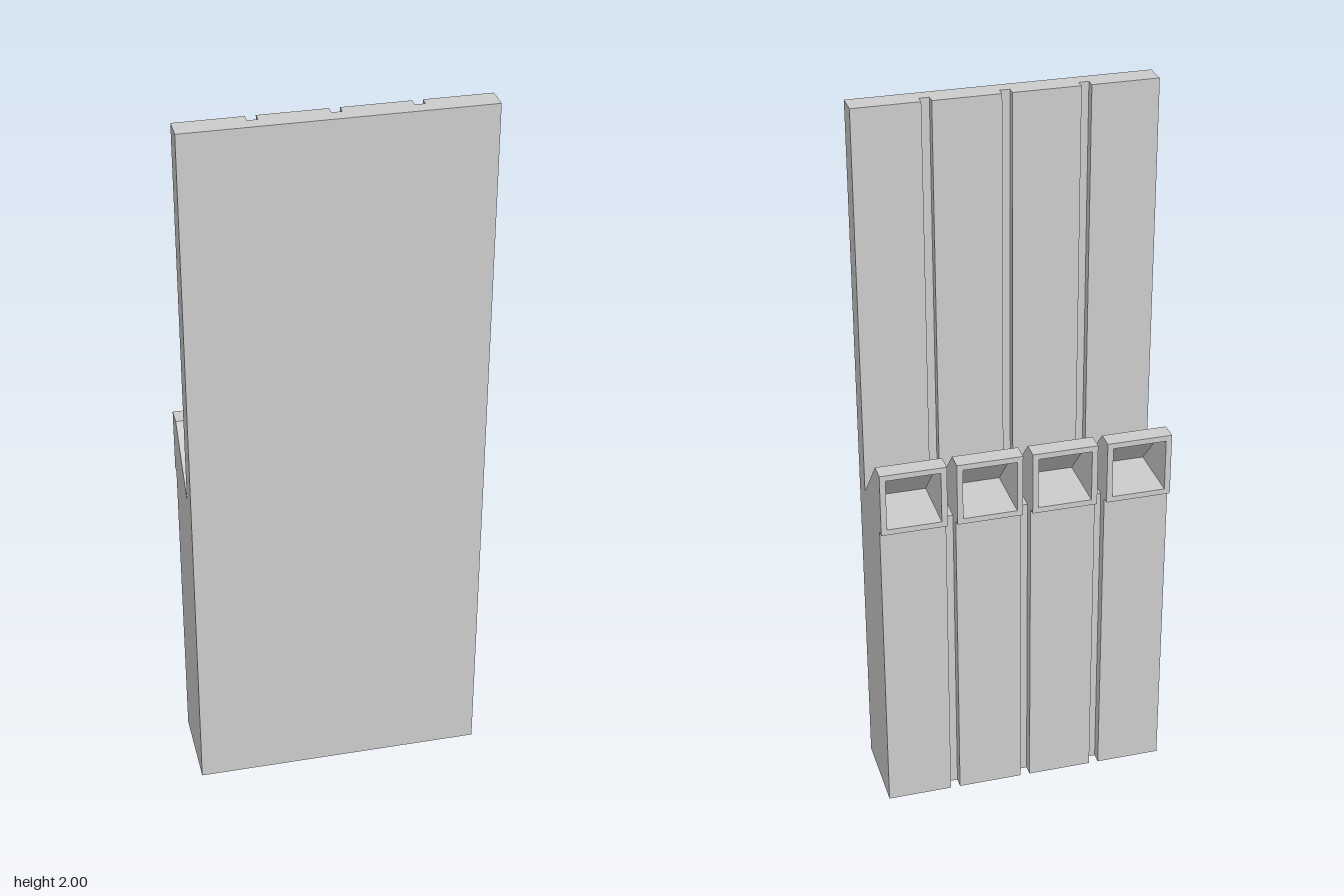
import * as THREE from 'three';

const WIDTH = 0.8, BAYS = 4, BAY = 0.18;
const PITCH = (WIDTH - BAY) / (BAYS - 1);
const FRONT = 0.13, SHELF = 0.89, WALL = 0.016;

export function createModel() {
  const model = new THREE.Group();
  const material = new THREE.MeshStandardMaterial({ color: 0xcccccc });

  const add = (name, geometry, parent = model) => {
    const mesh = new THREE.Mesh(geometry, material);
    mesh.name = name;
    parent.add(mesh);
    return mesh;
  };

  const extrude = (points, depth) => new THREE.ExtrudeGeometry(
    new THREE.Shape(points.map(([a, b]) => new THREE.Vector2(a, b))),
    { depth, bevelEnabled: false });

  // Upright slab whose back face carries vertical grooves between the bays
  const groovedSlab = (name, back, grooveFloor, y0, y1) => {
    const plan = [[-WIDTH / 2, -FRONT], [WIDTH / 2, -FRONT]];
    for (let i = BAYS - 1; i >= 0; i--) {
      const x0 = -WIDTH / 2 + i * PITCH;
      plan.push([x0 + BAY, -back], [x0, -back]);
      if (i > 0) plan.push([x0, -grooveFloor], [x0 - PITCH + BAY, -grooveFloor]);
    }
    add(name, extrude(plan, y1 - y0).rotateX(-Math.PI / 2).translate(0, y0, 0));
  };

  groovedSlab('lowerBody', -0.11, -0.08, 0, SHELF);
  groovedSlab('tallPanel', 0.065, 0.09, SHELF, 2);

  // Side profiles given as [-z, y] and extruded along x
  const outer = [[-0.065, SHELF], [0.13, SHELF], [0.13, 1.07], [0.08, 1.07], [-0.065, 0.915]];
  const shell = [
    [-0.065, SHELF], [0.13, SHELF], [0.13, SHELF + WALL], [-0.05, SHELF + WALL],
    [0.087, 1.07 - WALL], [0.13, 1.07 - WALL], [0.13, 1.07], [0.08, 1.07], [-0.065, 0.915],
  ];
  const sidePiece = (points, x, width) =>
    extrude(points, width).rotateY(Math.PI / 2).translate(x, 0, 0);

  // Row of hollow bins with sloping roofs, open to the back
  for (let i = 0; i < BAYS; i++) {
    const bin = new THREE.Group();
    bin.name = `bin${i + 1}`;
    bin.position.x = -WIDTH / 2 + i * PITCH;
    add('binShell', sidePiece(shell, WALL, BAY - 2 * WALL), bin);
    add('binRightWall', sidePiece(outer, 0, WALL), bin);
    add('binLeftWall', sidePiece(outer, BAY - WALL, WALL), bin);
    model.add(bin);
  }

  return model;
}
